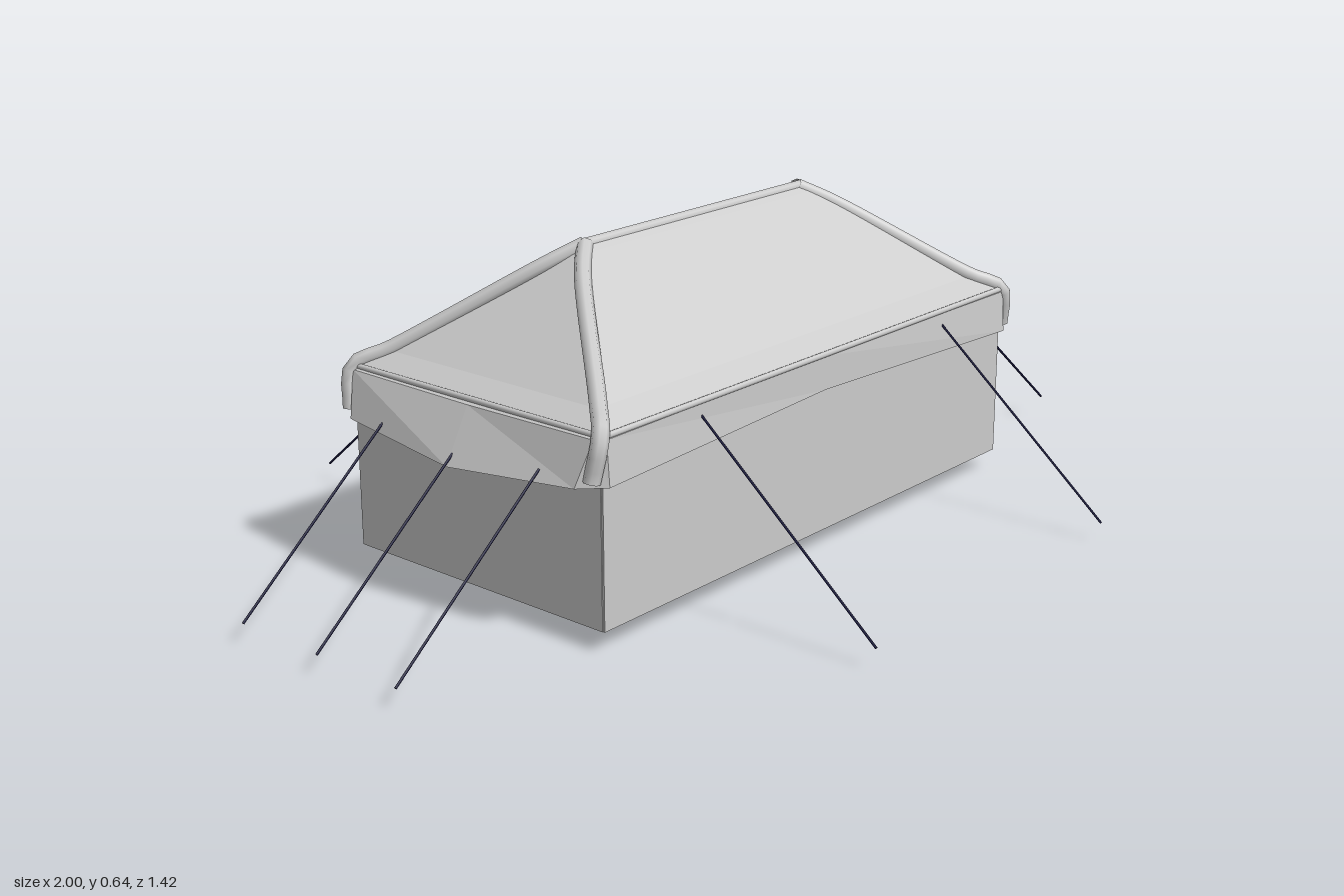
import * as THREE from 'three';

export function createModel() {
  const group = new THREE.Group();
  const grey = new THREE.MeshStandardMaterial({ color: 0xcccccc, side: THREE.DoubleSide });
  const cloth = new THREE.MeshStandardMaterial({ color: 0xcccccc, side: THREE.DoubleSide, flatShading: true });
  const navy = new THREE.MeshStandardMaterial({ color: 0x14143a });

  const add = (name, geometry, material = grey) => {
    const mesh = new THREE.Mesh(geometry, material);
    mesh.name = name;
    group.add(mesh);
    return mesh;
  };

  const box = (name, w, h, d, x, y, z) => add(name, new THREE.BoxGeometry(w, h, d), cloth).position.set(x, y, z);

  // Straight round bar between two points
  const bar = (name, from, to, radius, material = grey, sides = 8) => {
    const a = new THREE.Vector3(...from), b = new THREE.Vector3(...to);
    const dir = b.clone().sub(a);
    const mesh = add(name, new THREE.CylinderGeometry(radius, radius, dir.length(), sides), material);
    mesh.position.copy(a).add(b).multiplyScalar(0.5);
    mesh.quaternion.setFromUnitVectors(new THREE.Vector3(0, 1, 0), dir.normalize());
  };

  // Closed skin between successive rings of points, listed from top to bottom
  const loft = (name, rings) => {
    const pos = [];
    for (let r = 0; r + 1 < rings.length; r++) {
      const up = rings[r], low = rings[r + 1], n = up.length;
      for (let i = 0; i < n; i++) {
        const j = (i + 1) % n;
        for (const p of [low[i], up[i], up[j], low[i], up[j], low[j]]) pos.push(...p);
      }
    }
    const geometry = new THREE.BufferGeometry();
    geometry.setAttribute('position', new THREE.Float32BufferAttribute(pos, 3));
    geometry.computeVertexNormals();
    return add(name, geometry, cloth);
  };

  // Four-cornered ring for the roof panels
  const rect = (x, z, y) => [[x, y, -z], [x, y, z], [-x, y, z], [-x, y, -z]];

  // Twelve-point ring with cut corners, from end middle, end corner, side corner, side middle
  const valanceRing = (endMid, endCorner, sideCorner, sideMid) => {
    const quarter = [endMid, endCorner, sideCorner, sideMid];
    const flip = (pts, sx, sz) => pts.map(([x, y, z]) => [x * sx, y, z * sz]);
    return [
      ...quarter,
      ...flip(quarter.slice(0, 3).reverse(), -1, 1),
      ...flip(quarter.slice(1), -1, -1),
      ...flip(quarter.slice(1, 3).reverse(), 1, -1),
    ];
  };

  // Hipped roof, its slopes easing out into a hem at the eaves
  loft('roof', [
    rect(0.32, 0.006, 0.63),
    rect(0.34, 0.025, 0.617),
    rect(0.575, 0.265, 0.428),
    rect(0.622, 0.318, 0.402),
  ]);

  // Hanging valance, flared over the two ends
  loft('valance', [
    valanceRing([0.605, 0.405, 0], [0.605, 0.405, 0.29], [0.59, 0.405, 0.31], [0, 0.405, 0.31]),
    valanceRing([0.63, 0.392, 0], [0.63, 0.395, 0.305], [0.615, 0.395, 0.322], [0, 0.398, 0.32]),
    valanceRing([0.685, 0.29, 0], [0.658, 0.31, 0.285], [0.615, 0.31, 0.328], [0, 0.33, 0.32]),
  ]);

  // Rolled seams over the ridge, hips and eaves
  bar('ridgeSeam', [-0.33, 0.624, 0], [0.33, 0.624, 0], 0.013);
  for (const sx of [-1, 1]) {
    bar('eaveSeam', [sx * 0.62, 0.4, -0.31], [sx * 0.62, 0.4, 0.31], 0.006);
    bar('eaveSeam', [-0.61, 0.4, sx * 0.317], [0.61, 0.4, sx * 0.317], 0.006);
    for (const sz of [-1, 1]) {
      const hip = new THREE.CatmullRomCurve3([
        [0.32, 0.625, 0], [0.38, 0.588, 0.05], [0.57, 0.432, 0.262], [0.622, 0.398, 0.314], [0.637, 0.32, 0.306],
      ].map(([x, y, z]) => new THREE.Vector3(sx * x, y, sz * z)), false, 'centripetal');
      add('hipSeam', new THREE.TubeGeometry(hip, 24, 0.016, 8));
    }
  }

  // Canvas walls: closed front and ends, wide doorway in the back
  const base = 0.04, top = 0.395, h = top - base, mid = (top + base) / 2, t = 0.01;
  box('frontWall', 1.235, h, t, 0, mid, 0.309);
  for (const sx of [-1, 1]) {
    box('endWall', t, h, 0.62, sx * 0.614, mid, 0);
    box('backWall', 0.33, h, t, sx * 0.453, mid, -0.309);
  }

  // Inner frame: corner posts and eave rails
  for (const s of [-1, 1]) {
    bar('eaveRail', [-0.605, 0.385, s * 0.297], [0.605, 0.385, s * 0.297], 0.009);
    bar('endRail', [s * 0.602, 0.385, -0.297], [s * 0.602, 0.385, 0.297], 0.009);
    for (const z of [-0.297, 0.297]) bar('cornerPost', [s * 0.6, base, z], [s * 0.6, 0.385, z], 0.009);
  }

  // Centre poles, each with two braces to the roof slopes
  for (const x of [-0.285, 0, 0.287]) {
    bar('centrePole', [x, 0, 0.008], [x, 0.615, 0.008], 0.011, grey, 10);
    for (const s of [-1, 1]) bar('poleBrace', [x, 0.37, 0.008], [x, 0.515, 0.008 + s * 0.135], 0.009);
  }

  // Guy ropes on the long sides and the ends
  for (const [x, s] of [[-0.365, 1], [0.39, 1], [-0.365, -1], [0.375, -1]]) {
    bar('sideRope', [x, 0.375, s * 0.318], [x, 0.04, s * 0.71], 0.0025, navy, 6);
  }
  for (const s of [-1, 1]) for (const z of [-0.195, 0.002, 0.2]) {
    bar('endRope', [s * 0.655, 0.325, z], [s * 0.999, 0.04, z], 0.0025, navy, 6);
  }

  return group;
}
